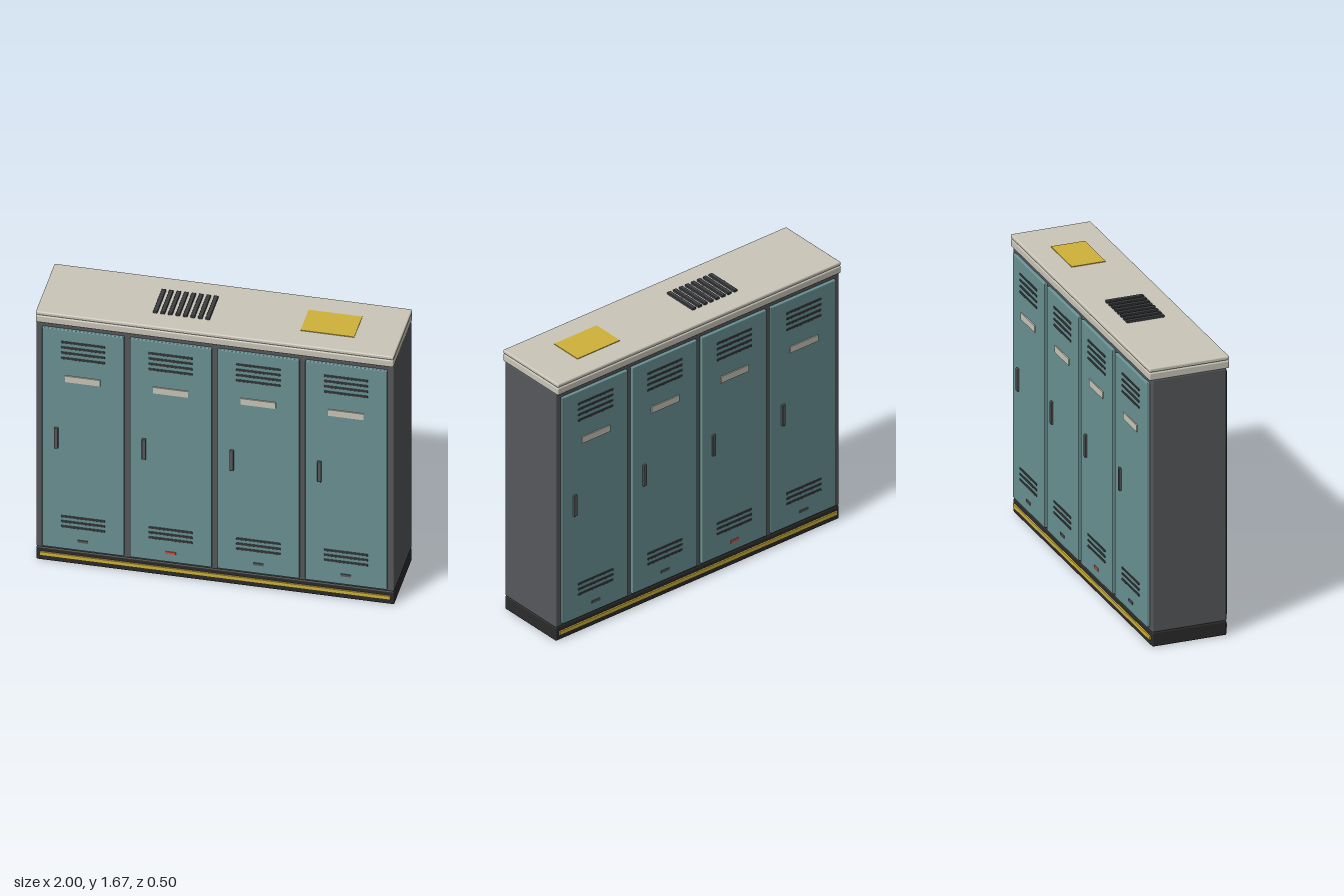
import * as THREE from 'three';
import { RoundedBoxGeometry } from 'three/addons/geometries/RoundedBoxGeometry.js';

const mat = (color) => new THREE.MeshStandardMaterial({ color });

export function createModel() {
  const root = new THREE.Group();
  root.name = 'lockerBank';

  const steel = mat(0x55585b), dark = mat(0x2b2b2b), teal = mat(0x6a9294);
  const cream = mat(0xcac6b9), yellow = mat(0xd0b23a), red = mat(0xd8503c), slot = mat(0x3b3e41);

  // Box from centre and size, with softened edges when bevel > 0
  function box(parent, name, material, [w, h, d], [x, y, z], bevel = 0) {
    const geo = bevel ? new RoundedBoxGeometry(w, h, d, 2, bevel) : new THREE.BoxGeometry(w, h, d);
    const mesh = new THREE.Mesh(geo, material);
    mesh.name = name;
    mesh.position.set(x, y, z);
    parent.add(mesh);
    return mesh;
  }

  // Plinth, cabinet body and two-step roof
  box(root, 'plinth', dark, [2, 0.085, 0.438], [0, 0.0425, 0], 0.008);
  box(root, 'cabinetBody', steel, [2, 1.5, 0.438], [0, 0.835, 0], 0.008);
  box(root, 'roofLower', cream, [2, 0.046, 0.472], [0, 1.606, 0], 0.008);
  box(root, 'roofUpper', cream, [2, 0.024, 0.472], [0, 1.643, 0], 0.008);

  // Roof panel and ventilation bars
  box(root, 'roofPanel', yellow, [0.3, 0.008, 0.2], [0.6, 1.655, 0]);
  for (let i = 0; i < 8; i++) {
    box(root, 'roofVent', slot, [0.024, 0.016, 0.22], [-0.36 + i * 0.0418, 1.66, 0], 0.003);
  }

  // One door with louvres, name plate, handle and tag
  function makeDoor(tagMaterial) {
    const door = new THREE.Group();
    door.name = 'door';
    box(door, 'doorPanel', teal, [0.458, 1.45, 0.021], [0, 0.83, 0.227], 0.005);
    for (const y of [1.475, 1.44, 1.405, 1.37, 0.32, 0.287, 0.254]) {
      box(door, 'louvre', slot, [0.246, 0.013, 0.012], [0, y, 0.236], 0.003);
    }
    box(door, 'namePlate', cream, [0.196, 0.04, 0.012], [0, 1.236, 0.238]);
    box(door, 'handle', steel, [0.023, 0.135, 0.022], [-0.148, 0.838, 0.239], 0.004);
    box(door, 'tag', tagMaterial, [0.058, 0.015, 0.01], [0, 0.168, 0.237]);
    return door;
  }

  // Matching door rows on front and back
  for (const back of [false, true]) {
    const side = new THREE.Group();
    side.name = back ? 'backSide' : 'frontSide';
    if (back) side.rotation.y = Math.PI;
    for (let i = 0; i < 4; i++) {
      const door = makeDoor(i === (back ? 2 : 1) ? red : steel);
      door.position.x = -0.735 + i * 0.49;
      side.add(door);
    }
    box(side, 'plinthStripe', yellow, [1.96, 0.024, 0.014], [0, 0.046, 0.221]);
    root.add(side);
  }
  return root;
}
